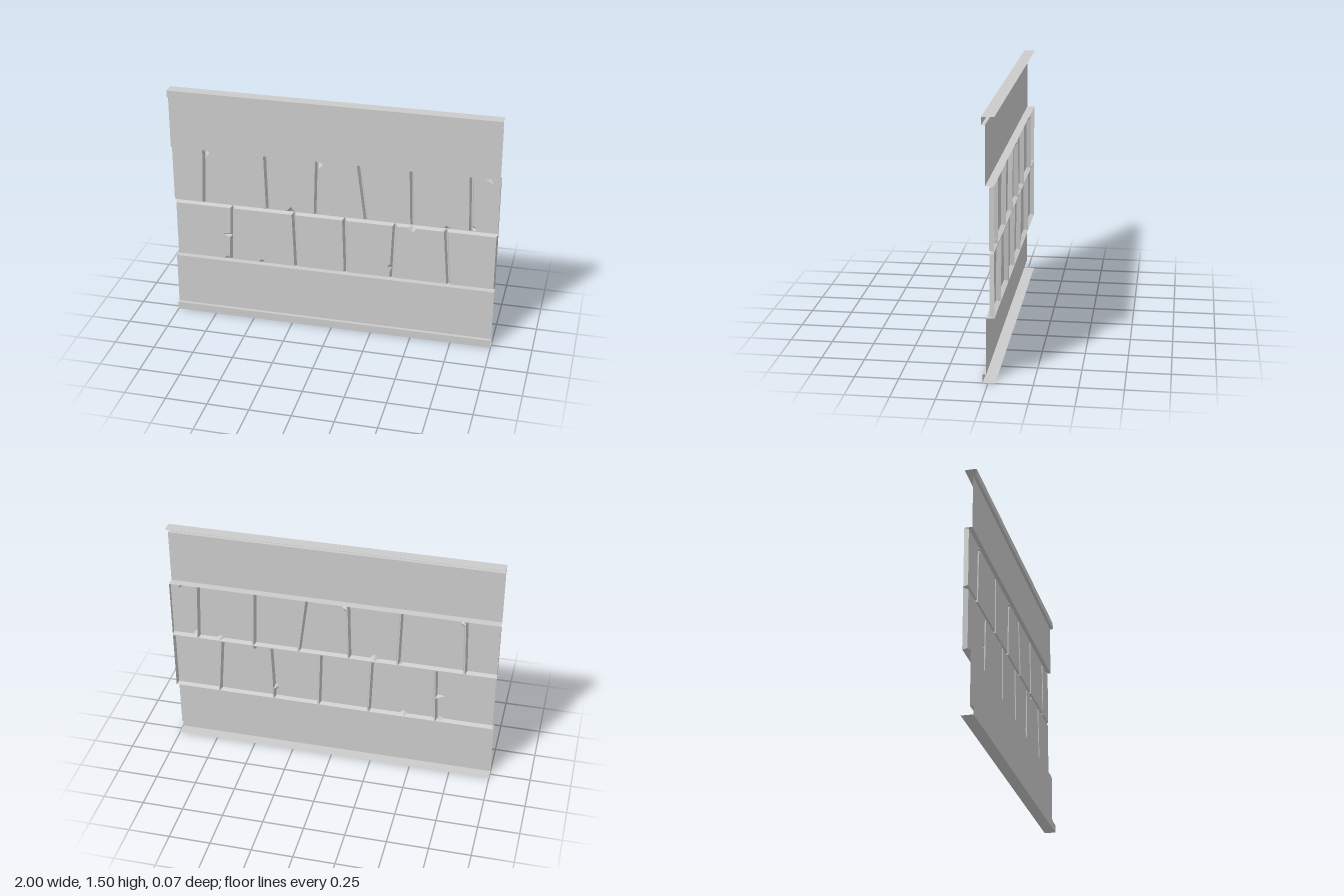
import * as THREE from 'three';

const FACE = -0.01, BACK = -0.037;
const mat = new THREE.MeshStandardMaterial({ color: 0xcccccc, flatShading: true, side: THREE.DoubleSide });

function meshFrom(name, pos) {
  const geo = new THREE.BufferGeometry();
  geo.setAttribute('position', new THREE.Float32BufferAttribute(pos, 3));
  geo.computeVertexNormals();
  const mesh = new THREE.Mesh(geo, mat);
  mesh.name = name;
  return mesh;
}

const tri = (pos, a, b, c) => pos.push(...a, ...b, ...c);
function quad(pos, a, b, c, d) { tri(pos, a, b, c); tri(pos, a, c, d); }

// Folded sheet: a [z, y] profile, running downwards, swept across the full width
function foldedSheet(name, profile) {
  const pos = [];
  for (let i = 0; i + 1 < profile.length; i++) {
    const [z0, y0] = profile[i], [z1, y1] = profile[i + 1];
    quad(pos, [-1, y0, z0], [-1, y1, z1], [1, y1, z1], [1, y0, z0]);
  }
  return meshFrom(name, pos);
}

// Hollow bevelled brick; corners run counter-clockwise from bottom left.
// chips: { edge, t, w, d, skew } = edge index, position, width, inward depth, sideways lean
function brick(base, face, chips) {
  const pos = [], outline = [];
  const B = base.map(([x, y]) => [x, y, BACK]), F = face.map(([x, y]) => [x, y, FACE]);
  for (let e = 0; e < 4; e++) {
    const n = (e + 1) % 4, p0 = B[e], p1 = B[n], f0 = F[e], f1 = F[n];
    const chip = chips.find(c => c.edge === e);
    outline.push(f0);
    if (!chip) { quad(pos, p0, p1, f1, f0); continue; }
    const len = Math.hypot(f1[0] - f0[0], f1[1] - f0[1]);
    const dir = [(f1[0] - f0[0]) / len, (f1[1] - f0[1]) / len];
    const half = chip.w / 2;
    const s = THREE.MathUtils.clamp(chip.t * len, half + 0.003, len - half - 0.003);
    const at = (k, d) => [f0[0] + dir[0] * k - dir[1] * d, f0[1] + dir[1] * k + dir[0] * d, FACE];
    const a = at(s - half, 0), b = at(s + half, 0), apex = at(s + (chip.skew || 0), chip.d);
    const low = p0.map((v, i) => THREE.MathUtils.lerp(v, p1[i], s / len));
    quad(pos, p0, low, a, f0);
    quad(pos, low, p1, f1, b);
    tri(pos, a, low, apex);
    tri(pos, low, b, apex);
    outline.push(a, apex, b);
  }
  const flat = outline.map(p => new THREE.Vector2(p[0], p[1]));
  for (const [i, j, k] of THREE.ShapeUtils.triangulateShape(flat, [])) tri(pos, outline[i], outline[j], outline[k]);
  return meshFrom('brick', pos);
}

// Row of bricks parted by slanted joints, each joint given as [x at top, x at bottom]
function brickRow({ name, base, face, joints, endBevel, chips }) {
  const row = new THREE.Group();
  row.name = name;
  const lines = [[-1, -1], ...joints, [1, 1]];
  const last = lines.length - 1;
  const inset = (i, floor) => (i === 0 || i === last) ? (floor ? 0 : endBevel) : (floor ? 0.003 : 0.013);
  for (let i = 0; i < last; i++) {
    const corners = ([y0, y1], floor) => {
      const l = inset(i, floor), r = inset(i + 1, floor), L = lines[i], R = lines[i + 1];
      return [[L[1] + l, y0], [R[1] - r, y0], [R[0] - r, y1], [L[0] + l, y1]];
    };
    row.add(brick(corners(base, true), corners(face, false), chips.filter(c => c.brick === i)));
  }
  // narrow floors of the upright joints
  const pos = [];
  for (const [t, b] of joints) {
    quad(pos, [b - 0.003, base[0], BACK], [b + 0.003, base[0], BACK],
      [t + 0.003, base[1], BACK], [t - 0.003, base[1], BACK]);
  }
  row.add(meshFrom('jointFloors', pos));
  return row;
}

export function createModel() {
  const model = new THREE.Group();
  model.name = 'wallPanel';

  // plain bands with stepped, flanged trims
  model.add(foldedSheet('upperBand', [[-0.04, 1.5], [0.03, 1.5], [0.03, 1.455], [0.01, 1.455], [0.01, 1.125], [BACK, 1.125]]));
  model.add(foldedSheet('lowerBand', [[BACK, 0.38], [0.01, 0.38], [0.01, 0.05], [0.03, 0.05], [0.03, 0], [-0.04, 0]]));

  // floor of the level joint between the rows
  model.add(foldedSheet('levelJoint', [[BACK, 0.757], [BACK, 0.751]]));

  model.add(brickRow({
    name: 'upperBricks', base: [0.757, 1.125], face: [0.766, 1.115], endBevel: 0,
    joints: [[-0.795, -0.807], [-0.414, -0.404], [-0.094, -0.104], [0.16, 0.206], [0.476, 0.489], [0.829, 0.842]],
    chips: [
      { brick: 1, edge: 3, t: 0, w: 0.04, d: 0.02, skew: -0.01 },
      { brick: 1, edge: 0, t: 0.98, w: 0.01, d: 0.008 },
      { brick: 2, edge: 0, t: 0.48, w: 0.055, d: 0.03 },
      { brick: 3, edge: 3, t: 0, w: 0.04, d: 0.025, skew: -0.01 },
      { brick: 5, edge: 0, t: 0.61, w: 0.045, d: 0.018, skew: -0.01 },
      { brick: 6, edge: 3, t: 1, w: 0.035, d: 0.02, skew: 0.01 },
      { brick: 6, edge: 2, t: 0.42, w: 0.05, d: 0.03, skew: -0.025 },
    ],
  }));

  model.add(brickRow({
    name: 'lowerBricks', base: [0.38, 0.751], face: [0.389, 0.742], endBevel: 0.008,
    joints: [[-0.631, -0.644], [-0.243, -0.23], [0.072, 0.083], [0.382, 0.369], [0.692, 0.719]],
    chips: [
      { brick: 0, edge: 1, t: 0.46, w: 0.025, d: 0.045, skew: 0.005 },
      { brick: 0, edge: 0, t: 1, w: 0.04, d: 0.02, skew: 0.015 },
      { brick: 1, edge: 0, t: 0.47, w: 0.05, d: 0.02 },
      { brick: 3, edge: 1, t: 0.18, w: 0.05, d: 0.022, skew: 0.01 },
      { brick: 4, edge: 2, t: 0.67, w: 0.055, d: 0.03 },
    ],
  }));

  return model;
}
